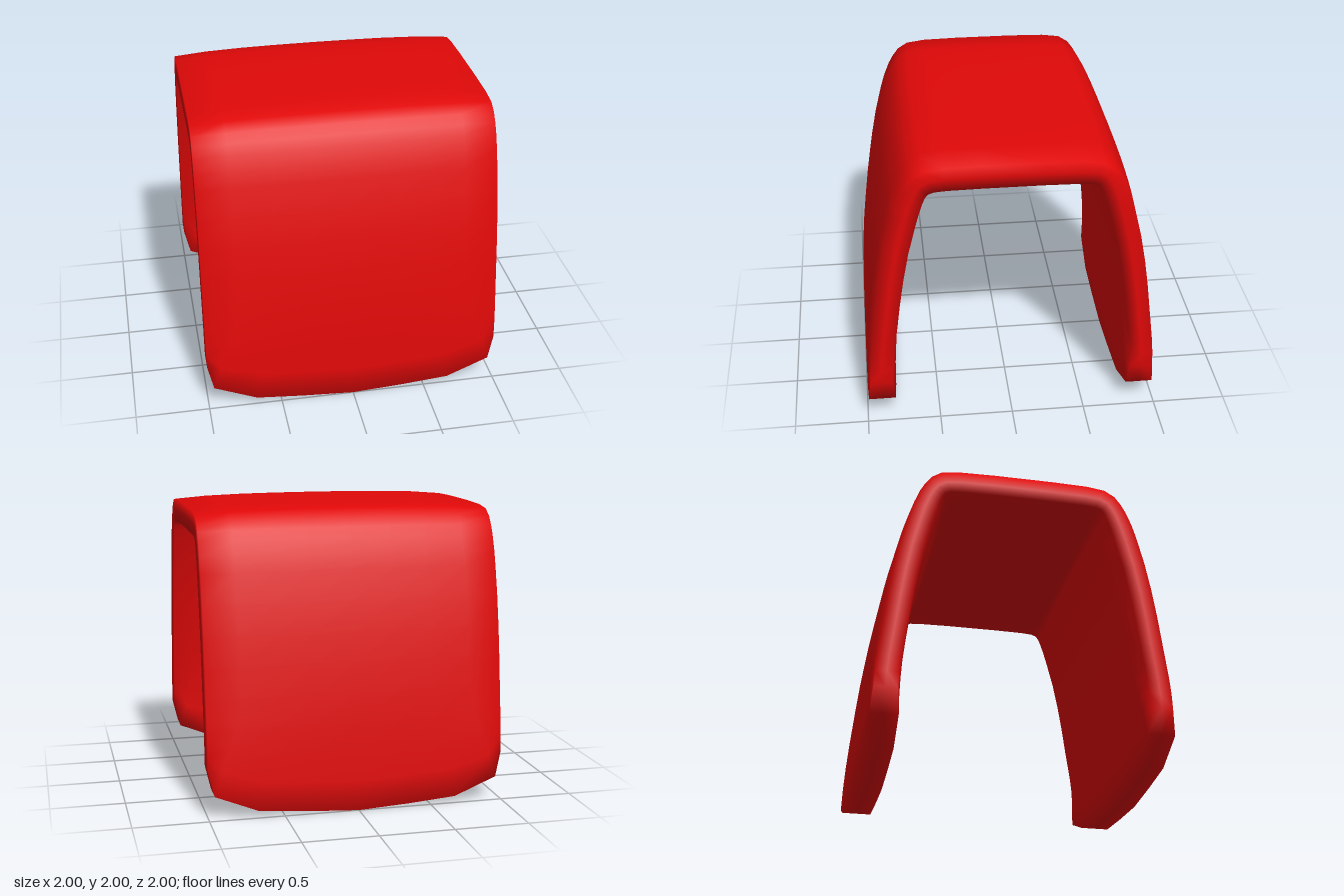
import * as THREE from 'three';
import { mergeVertices } from 'three/addons/utils/BufferGeometryUtils.js';

// Half of the arch, from leg end to crown: outer z, outer y, inner z, inner y
const HALF = [
  [1.0, 0, 0.79, 0], [0.996, 0.2, 0.785, 0.2], [0.987, 0.4, 0.775, 0.39],
  [0.974, 0.6, 0.761, 0.58], [0.955, 0.8, 0.741, 0.77], [0.93, 1.0, 0.716, 0.96],
  [0.9, 1.2, 0.686, 1.15], [0.862, 1.4, 0.65, 1.34], [0.813, 1.6, 0.602, 1.53],
  [0.783, 1.7, 0.575, 1.63], [0.742, 1.8, 0.55, 1.71], [0.705, 1.865, 0.537, 1.745],
  [0.66, 1.925, 0.522, 1.765], [0.585, 1.975, 0.49, 1.773],
  [0.45, 1.994, 0.42, 1.777], [0.2, 2.0, 0.2, 1.78],
];
const ARCH = [...HALF, ...HALF.slice().reverse().map(([a, b, c, d]) => [-a, b, -c, d])];

// Columns across the width: x on the arch, x and height at the leg end, inset of the crowned faces
const SIDE = [[0, 0, 0.005, 0], [0.28, 0.35, 0.025, 0.005],
  [0.52, 0.67, 0.05, 0.02], [0.78, 0.96, 0.165, 0.06], [1, 1, 0.33, 0.14]];
const COLUMNS = [
  ...SIDE.slice(1).reverse().map(([x, xEnd, yEnd, inset]) => [-x, -xEnd, yEnd, inset]),
  ...SIDE,
];
const BLEND = 0.7; // the rounded leg ends fade out above this height

// Point on the shell: station along the arch, column, layer 0 outer / 1 middle / 2 inner
function point(i, k, layer) {
  const [oz, oy, iz, iy] = ARCH[i];
  const [x, xEnd, yEnd, inset] = COLUMNS[k];
  const t = [inset, 0.5, 1 - inset][layer];
  const y = oy + (iy - oy) * t;
  const f = Math.min(y / BLEND, 1);
  return [xEnd + (x - xEnd) * f, y + yEnd * (1 - f), oz + (iz - oz) * t];
}

function shellGeometry() {
  const pos = [];
  const quad = (a, b, c, d, flip) => {
    const corners = flip ? [a, c, b, a, d, c] : [a, b, c, a, c, d];
    corners.forEach((p) => pos.push(...p));
  };
  const N = ARCH.length - 1, K = COLUMNS.length - 1;
  // Outer and inner faces
  for (const layer of [0, 2])
    for (let i = 0; i < N; i++)
      for (let k = 0; k < K; k++)
        quad(point(i, k, layer), point(i, k + 1, layer),
          point(i + 1, k + 1, layer), point(i + 1, k, layer), layer === 2);
  for (let l = 0; l < 2; l++) {
    // Side rims
    for (const k of [0, K])
      for (let i = 0; i < N; i++)
        quad(point(i, k, l), point(i, k, l + 1),
          point(i + 1, k, l + 1), point(i + 1, k, l), k === 0);
    // Leg ends
    for (const i of [0, N])
      for (let k = 0; k < K; k++)
        quad(point(i, k, l), point(i, k, l + 1),
          point(i, k + 1, l + 1), point(i, k + 1, l), i === N);
  }
  const soup = new THREE.BufferGeometry();
  soup.setAttribute('position', new THREE.Float32BufferAttribute(pos, 3));
  const geometry = mergeVertices(soup, 1e-4);
  geometry.computeVertexNormals();
  return geometry;
}

export function createModel() {
  const group = new THREE.Group();
  group.name = 'archedCover';
  const red = new THREE.MeshStandardMaterial({ color: 0xe00808 });
  red.name = 'red';
  const shell = new THREE.Mesh(shellGeometry(), red);
  shell.name = 'archShell';
  group.add(shell);
  return group;
}
